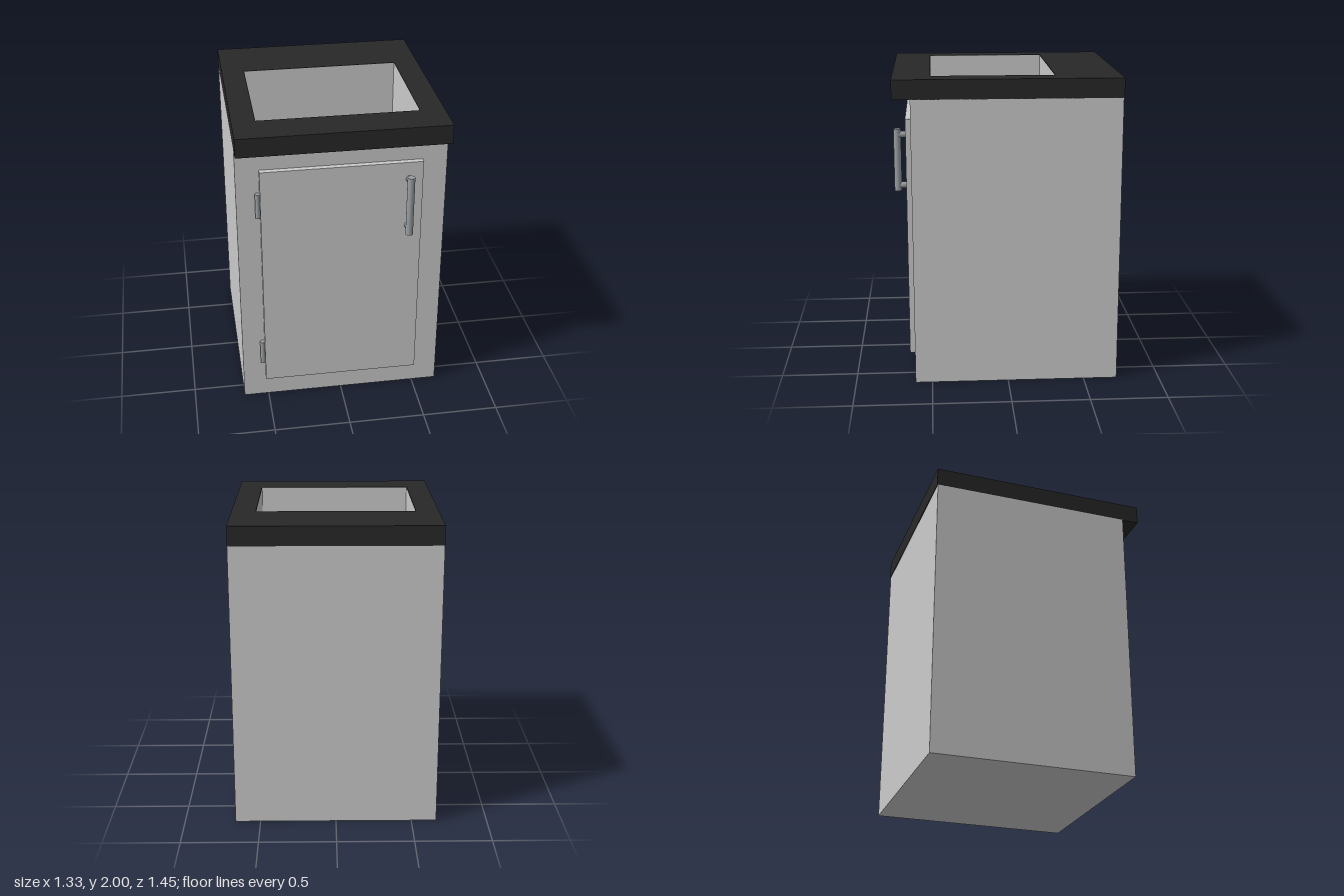
import * as THREE from 'three';

const grey = new THREE.MeshStandardMaterial({ color: 0xcccccc });
const greyOpen = new THREE.MeshStandardMaterial({ color: 0xcccccc, side: THREE.DoubleSide });
const dark = new THREE.MeshStandardMaterial({ color: 0x282828 });
const metal = new THREE.MeshStandardMaterial({ color: 0x9a9fa2 });

// Box given by its limits; openTop leaves out the upper face
function boxGeometry([x0, x1], [y0, y1], [z0, z1], openTop = false) {
  const g = new THREE.BoxGeometry(x1 - x0, y1 - y0, z1 - z0);
  if (openTop) {
    const index = Array.from(g.index.array);
    index.splice(12, 6);
    g.setIndex(index);
    g.clearGroups();
  }
  return g.translate((x0 + x1) / 2, (y0 + y1) / 2, (z0 + z1) / 2);
}

function rectangle(path, x0, x1, y0, y1) {
  path.moveTo(x0, y0);
  path.lineTo(x1, y0);
  path.lineTo(x1, y1);
  path.lineTo(x0, y1);
  path.closePath();
  return path;
}

export function createModel() {
  const model = new THREE.Group();
  model.name = 'sinkCabinet';
  const add = (name, geometry, material, parent = model) => {
    const mesh = new THREE.Mesh(geometry, material);
    mesh.name = name;
    parent.add(mesh);
    return mesh;
  };

  // Cabinet body, open under the countertop
  add('cabinetBody', boxGeometry([-0.665, 0.665], [0, 1.877], [-0.72, 0.61], true), greyOpen);

  // Countertop with a rectangular cut-out (shape y becomes -z)
  const top = rectangle(new THREE.Shape(), -0.665, 0.665, -0.724, 0.724);
  top.holes.push(rectangle(new THREE.Path(), -0.517, 0.508, -0.483, 0.305));
  const topGeometry = new THREE.ExtrudeGeometry(top, { depth: 0.125, bevelEnabled: false });
  topGeometry.rotateX(-Math.PI / 2).translate(0, 1.875, 0);
  add('countertop', topGeometry, dark);

  // Basin lining the cut-out
  add('basin', boxGeometry([-0.515, 0.506], [1.4, 1.999], [-0.303, 0.481], true), greyOpen);

  // Door
  add('door', boxGeometry([-0.517, 0.508], [0.148, 1.727], [0.61, 0.646]), grey);

  // Hinges
  for (const [name, y] of [['lowerHinge', 0.367], ['upperHinge', 1.487]]) {
    add(name, new THREE.CylinderGeometry(0.017, 0.017, 0.168, 16), metal)
      .position.set(-0.531, y, 0.627);
  }

  // Handle: a round bar on two posts
  const handle = new THREE.Group();
  handle.name = 'handle';
  handle.position.set(0.42, 1.447, 0);
  model.add(handle);
  add('handleBar', new THREE.CylinderGeometry(0.024, 0.024, 0.405, 20), metal, handle)
    .position.z = 0.7;
  for (const side of [-1, 1]) {
    const post = new THREE.CylinderGeometry(0.022, 0.022, 0.06, 16).rotateX(Math.PI / 2);
    add(side > 0 ? 'upperPost' : 'lowerPost', post, metal, handle)
      .position.set(0, side * 0.167, 0.67);
  }

  return model;
}
